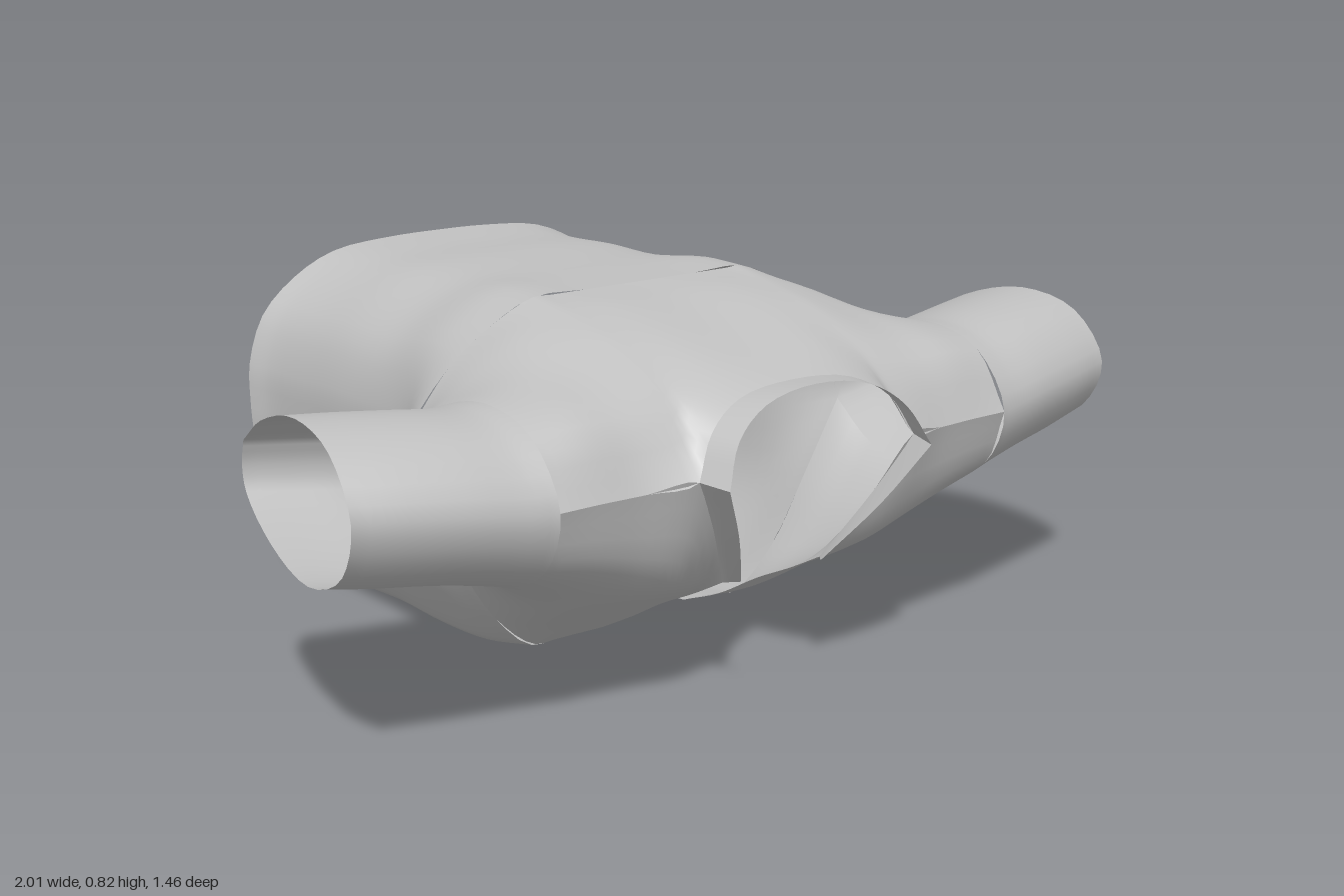
import * as THREE from 'three';
import { mergeVertices } from 'three/addons/utils/BufferGeometryUtils.js';

const V = (x, y, z) => new THREE.Vector3(x, y, z);
const flip = (p) => V(-p.x, p.y, p.z);
const mirrorRows = (rows) => rows.map((r) => r.map(flip)).reverse();

// Smooth surface through a grid of points: nu steps across rows, nv along each row
function loft(rows, nu, nv) {
  const sample = (pts, n) => new THREE.CatmullRomCurve3(pts).getPoints(n);
  const fine = rows.map((r) => sample(r, nv));
  const cols = [];
  for (let j = 0; j <= nv; j++) cols.push(sample(fine.map((r) => r[j]), nu));
  const pos = [], idx = [];
  for (let i = 0; i <= nu; i++) {
    for (let j = 0; j <= nv; j++) {
      pos.push(...cols[j][i].toArray());
      if (i < nu && j < nv) {
        const a = i * (nv + 1) + j, b = a + nv + 1;
        idx.push(a, b, a + 1, b, b + 1, a + 1);
      }
    }
  }
  const g = new THREE.BufferGeometry();
  g.setAttribute('position', new THREE.Float32BufferAttribute(pos, 3));
  g.setIndex(idx);
  const merged = mergeVertices(g, 1e-4);
  merged.computeVertexNormals();
  return merged;
}

export function createModel() {
  const group = new THREE.Group();
  const cloth = new THREE.MeshStandardMaterial({ color: 0xc0c0c0, side: THREE.DoubleSide });
  cloth.name = 'grey cloth';
  const add = (name, geometry) => {
    const mesh = new THREE.Mesh(geometry, cloth);
    mesh.name = name;
    group.add(mesh);
  };

  // Torso: half profiles [x, y] from the front opening round to the middle of the back
  const chest = [[.13, .05], [.22, .045], [.3, .04], [.4, .13], [.5, .29], [.6, .46], [.61, .52],
    [.6, .58], [.5, .70], [.4, .77], [.29, .82], [.15, .82], [0, .82]];
  const ribs = [[.13, .035], [.23, .025], [.33, .02], [.42, .12], [.495, .26], [.53, .42], [.54, .50],
    [.53, .58], [.48, .70], [.4, .77], [.29, .82], [.15, .82], [0, .82]];
  const waist = [[.13, .03], [.24, .02], [.34, .012], [.425, .12], [.49, .25], [.513, .40], [.515, .48],
    [.51, .56], [.47, .67], [.385, .75], [.28, .80], [.145, .815], [0, .817]];
  // Each ring: profile, z at the opening, z at the back, width scale, height shift, opening half width
  const rings = [
    [chest, .1, .1, 1, 0, .13], [ribs, -.03, -.03, 1, 0, .14], [waist, -.2, -.2, 1, 0, .18],
    [waist, -.38, -.38, 1, 0, .23], [waist, -.52, -.55, 1.01, -.008, .27],
    [waist, -.61, -.66, 1.03, -.006, .29], [waist, -.66, -.73, 1.07, -.003, .31],
  ];
  add('torso', loft(rings.map(([profile, z0, z1, s, dy, edge]) => {
    const half = profile.map(([x, y], k) => {
      const px = k < 2 ? THREE.MathUtils.lerp(edge, profile[2][0] * s, k / 2) : x * s;
      return V(px, y + dy, THREE.MathUtils.lerp(z0, z1, k / 12));
    });
    return [...half, ...half.slice(0, -1).reverse().map(flip)];
  }), 24, 72));

  // Back yoke: [x, then y, z pairs from the torso forward to the neck and shoulder seam]
  const yoke = [
    [.6, .58, .1, .65, .2, .70, .38, .665, .54, .54, .63],
    [.5, .70, .1, .715, .22, .72, .38, .675, .55, .54, .63],
    [.4, .77, .1, .77, .22, .74, .37, .675, .55, .54, .635],
    [.29, .82, .1, .80, .22, .77, .36, .69, .54, .55, .66],
    [.24, .82, .1, .805, .22, .775, .36, .715, .51, .635, .635],
    [.15, .82, .1, .81, .22, .78, .36, .735, .5, .685, .61],
    [0, .82, .1, .805, .22, .775, .36, .735, .5, .70, .60],
  ];
  const toRow = ([x, ...yz]) => [0, 2, 4, 6, 8].map((k) => V(x, yz[k], yz[k + 1]));
  const yokeRows = yoke.map(toRow);
  add('backYoke', loft([...yokeRows, ...mirrorRows(yokeRows.slice(0, -1))], 48, 16));

  // Front chest panels: from the neck and shoulder seam back to the torso
  const panel = [
    [.6, .54, .63, .41, .58, .335, .41, .375, .22, .46, .1],
    [.5, .54, .63, .39, .58, .285, .41, .26, .23, .29, .1],
    [.4, .54, .635, .36, .575, .235, .40, .16, .23, .13, .1],
    [.29, .55, .66, .32, .57, .20, .38, .11, .23, .04, .1],
    [.22, .43, .62, .29, .54, .19, .38, .10, .23, .045, .1],
    [.135, .28, .55, .23, .46, .175, .35, .10, .22, .05, .1],
  ].map(toRow);
  add('leftChestPanel', loft(panel, 20, 16));
  add('rightChestPanel', loft(mirrorRows(panel), 20, 16));

  // Sleeves: one armhole loop [z, y], moved and resized outward to the cuff
  const armhole = [[.1, .58], [.2, .65], [.38, .70], [.54, .665], [.63, .54], [.58, .41],
    [.41, .335], [.22, .375], [.1, .46], [.085, .52], [.1, .58]];
  // Each ring: x, slant, z centre, z scale, bottom y, top y
  const sleeve = [
    [.98, .1, .31, .94, .40, .72], [.88, .07, .33, .95, .385, .715], [.76, .03, .35, .96, .37, .705],
    [.66, 0, .36, .98, .35, .695], [.6, 0, .365, 1, .335, .70],
  ].map(([x, slant, zc, s, y0, y1]) => armhole.map(([z, y]) => {
    const d = (z - .365) * s;
    return V(x + slant * d, THREE.MathUtils.mapLinear(y, .335, .70, y0, y1), zc + d);
  }));
  add('leftSleeve', loft(sleeve, 12, 40));
  add('rightSleeve', loft(mirrorRows(sleeve), 12, 40));

  // Collar: a standing band along the neck edge, with a corner at each side
  const neckBack = [[0, .70, .60], [.15, .685, .61], [.24, .635, .635], [.29, .55, .66]];
  const rimBack = [[0, .705, .67], [.14, .685, .68], [.225, .63, .70], [.272, .545, .73]];
  const neckFront = [[.29, .55, .66], [.22, .43, .62], [.135, .28, .55]];
  const rimFront = [[.272, .545, .73], [.195, .42, .67], [.11, .285, .58]];
  const points = (list) => list.map((p) => V(...p));
  const full = (list) => {
    const half = points(list);
    return [...half.slice(1).reverse().map(flip), ...half];
  };
  add('collarBack', loft([full(rimBack), full(neckBack)], 2, 24));
  const lapel = [points(rimFront), points(neckFront)];
  add('leftCollarFront', loft(lapel, 2, 8));
  add('rightCollarFront', loft(mirrorRows(lapel), 2, 8));

  return group;
}
